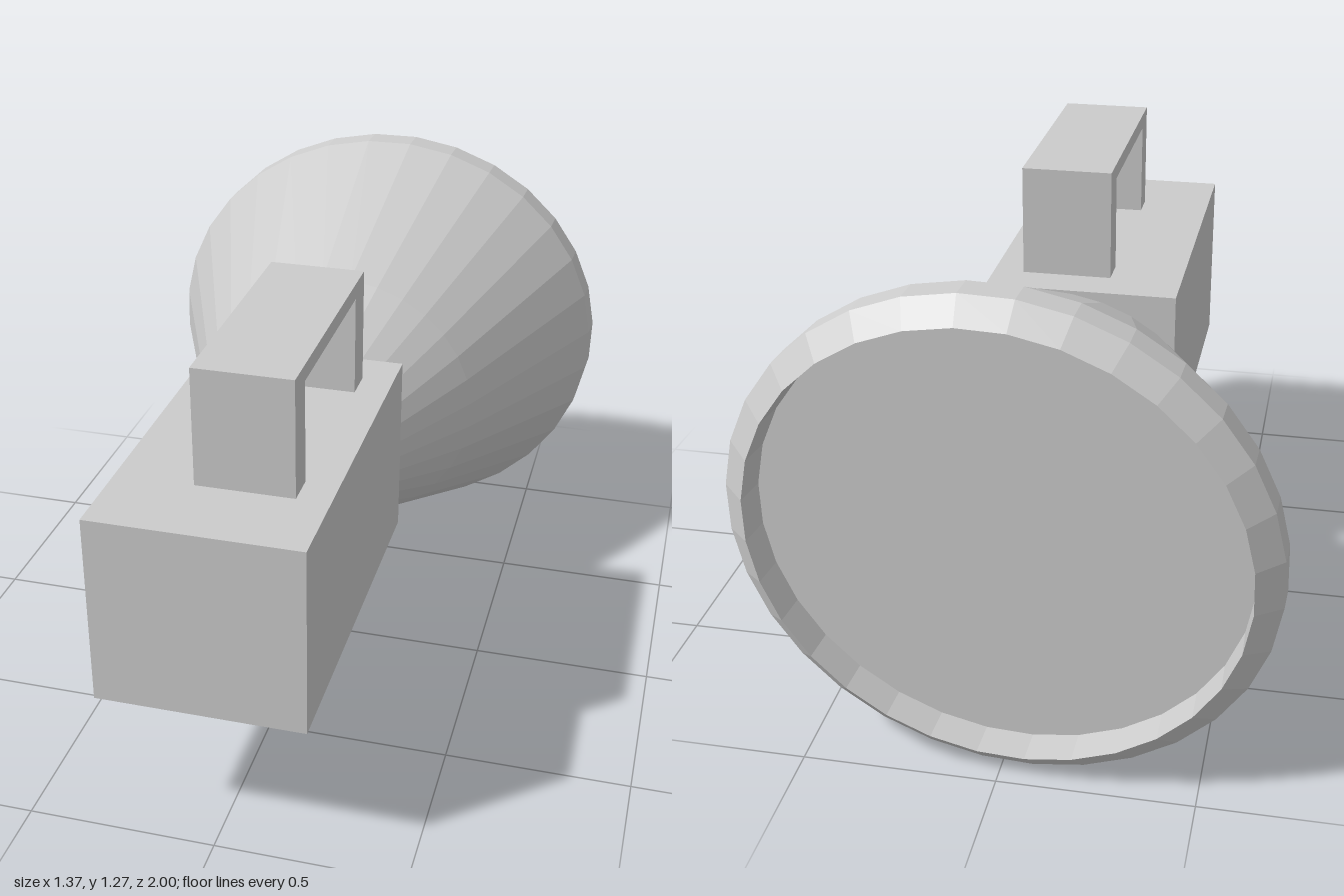
import * as THREE from 'three';

const material = new THREE.MeshStandardMaterial({ color: 0xcccccc, flatShading: true });

function addMesh(parent, name, geometry) {
  const mesh = new THREE.Mesh(geometry, material);
  mesh.name = name;
  parent.add(mesh);
  return mesh;
}

// Closed rectangle as a list of points
function rectangle(x0, x1, y0, y1) {
  return [[x0, y0], [x1, y0], [x1, y1], [x0, y1]].map(([x, y]) => new THREE.Vector2(x, y));
}

// Box whose lower face shrinks on x and z
function taperedBox(w, h, d, scaleX, scaleZ) {
  const geometry = new THREE.BoxGeometry(w, h, d);
  const p = geometry.attributes.position;
  for (let i = 0; i < p.count; i++) {
    if (p.getY(i) < 0) {
      p.setX(i, p.getX(i) * scaleX);
      p.setZ(i, p.getZ(i) * scaleZ);
    }
  }
  geometry.computeVertexNormals();
  return geometry;
}

export function createModel() {
  const model = new THREE.Group();
  model.name = 'lantern';

  // Battery case: solid block with a shallow socket frame around the lamp neck
  const [x0, x1, y0, y1, socketDepth] = [-0.296, 0.246, 0.409, 0.919, 0.06];
  const block = new THREE.BoxGeometry(x1 - x0, y1 - y0, 1 - socketDepth);
  addMesh(model, 'batteryCase', block)
    .position.set((x0 + x1) / 2, (y0 + y1) / 2, (1 + socketDepth) / 2);
  const frame = new THREE.Shape(rectangle(x0, x1, y0, y1));
  frame.holes.push(new THREE.Path(rectangle(x0 + 0.022, x1 - 0.022, y0 + 0.03, y1 - 0.03)));
  addMesh(model, 'socketFrame', new THREE.ExtrudeGeometry(frame, { depth: socketDepth + 0.005, bevelEnabled: false }))
    .position.z = -0.005;

  // Tapered foot under the case
  addMesh(model, 'foot', taperedBox(0.49, 0.105, 0.92, 0.82, 0.8))
    .position.set(-0.025, 0.3565, 0.497);

  // Carrying handle: a U-shaped side profile extruded across the case
  const outline = [
    [0.11, 0.919], [0.2, 0.919], [0.2, 1.188], [0.695, 1.188],
    [0.695, 0.919], [0.78, 0.919], [0.78, 1.23], [0.11, 1.23],
  ].map(([z, y]) => new THREE.Vector2(z, y));
  const handle = new THREE.ExtrudeGeometry(new THREE.Shape(outline), { depth: 0.253, bevelEnabled: false });
  addMesh(model, 'handle', handle.rotateY(-Math.PI / 2).translate(0.16, 0, 0));

  // Lamp head: an oval, rolled and slightly turned cone running toward -z
  const lamp = new THREE.Group();
  lamp.name = 'lampHead';
  lamp.position.set(-0.035, 0.638, 0);
  lamp.rotation.y = -0.042;
  model.add(lamp);

  const lathe = (points) => new THREE.LatheGeometry(
    points.map(([r, h]) => new THREE.Vector2(r, h)), 32, -0.035)
    .rotateX(-Math.PI / 2).scale(1.088, 1, 1).rotateZ(0.26);

  addMesh(lamp, 'reflectorCone', lathe([
    [0.208, -0.06], [0.24, 0], [0.392, 0.288], [0.634, 0.838],
  ]));
  // Rim: straight band, bevel, then the inner wall back to the lens
  addMesh(lamp, 'rim', lathe([
    [0.634, 0.838], [0.634, 0.915], [0.575, 0.973], [0.57, 0.88],
  ]));
  addMesh(lamp, 'lens', lathe([[0.57, 0.88], [0, 0.88]]));

  return model;
}
